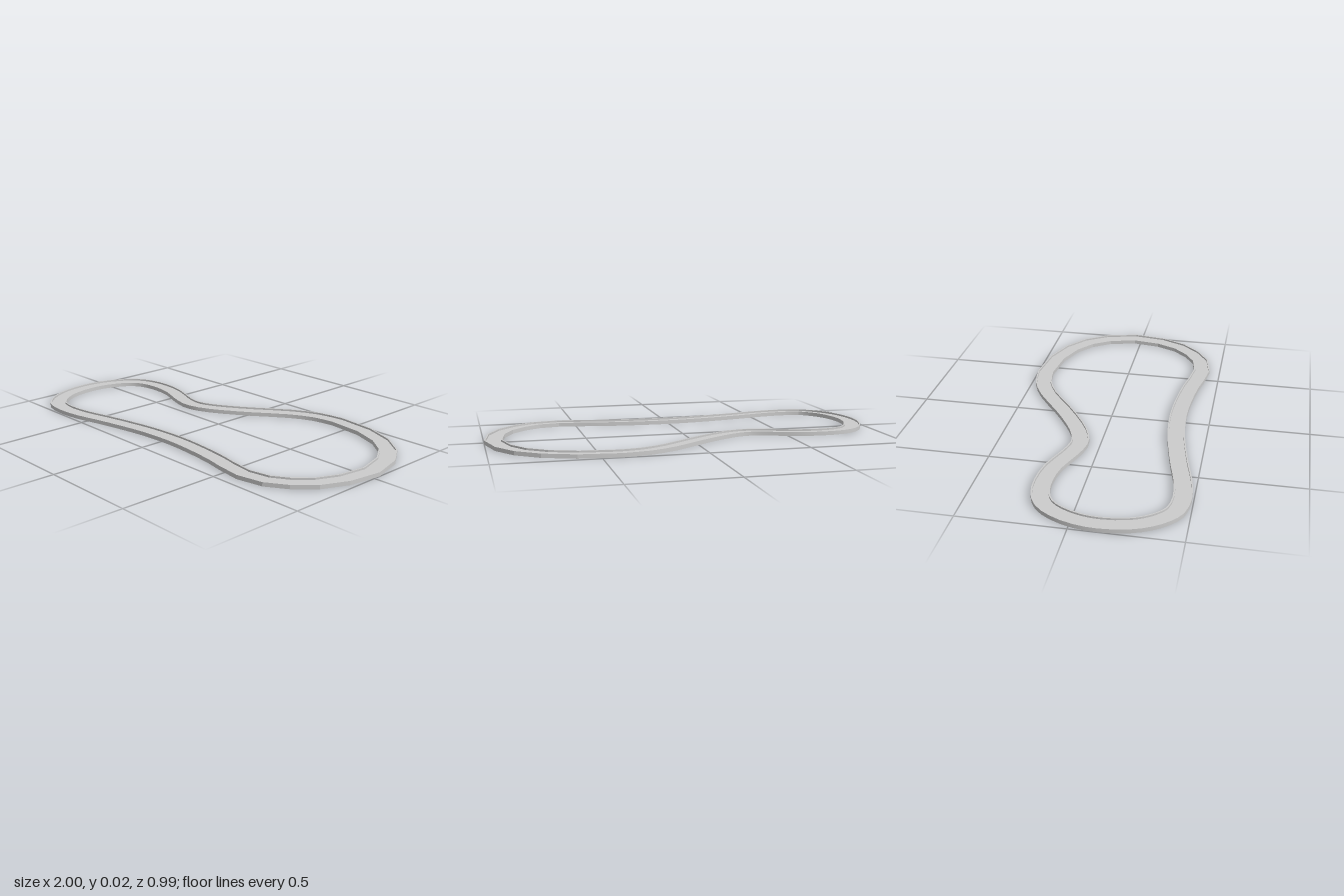
import * as THREE from 'three';
import { toCreasedNormals } from 'three/addons/utils/BufferGeometryUtils.js';

const HALF = 0.043;   // half width of the track
const HEIGHT = 0.02;
const RIM = 0.007;    // thickness of the edge rims
const ROAD = 0.011;   // height of the road surface

// Centre line as x, z pairs: a faceted wide bend, then a smooth run back to its start
const bend = [
  [0.41, -0.453], [0.60, -0.432], [0.745, -0.377], [0.848, -0.298], [0.918, -0.19], [0.957, -0.035],
  [0.934, 0.122], [0.88, 0.24], [0.80, 0.325], [0.71, 0.381], [0.59, 0.402], [0.465, 0.384],
];
const sweepBack = [
  [0.465, 0.384], [0.368, 0.364], [0.19, 0.344], [0.05, 0.338], [-0.13, 0.349], [-0.295, 0.376],
  [-0.44, 0.406], [-0.565, 0.436], [-0.705, 0.45], [-0.806, 0.432], [-0.86, 0.392], [-0.907, 0.33],
  [-0.94, 0.252], [-0.957, 0.13], [-0.946, 0.029], [-0.908, -0.07], [-0.855, -0.137], [-0.782, -0.173],
  [-0.68, -0.185], [-0.555, -0.17], [-0.432, -0.125], [-0.33, -0.098], [-0.246, -0.11], [-0.14, -0.161],
  [0, -0.254], [0.157, -0.371], [0.285, -0.433], [0.41, -0.453],
];

function centreLine() {
  const curve = new THREE.CatmullRomCurve3(sweepBack.map(([x, z]) => new THREE.Vector3(x, 0, z)));
  const steps = (sweepBack.length - 1) * 2;
  const smooth = Array.from({ length: steps - 1 }, (_, i) => curve.getPoint((i + 1) / steps));
  return [...bend.map(([x, z]) => new THREE.Vector2(x, z)), ...smooth.map((p) => new THREE.Vector2(p.x, p.z))];
}

// Mitred outward direction at every point of the closed line
function mitres(line) {
  const n = line.length;
  const normal = (a, b) => {
    const d = b.clone().sub(a).normalize();
    return new THREE.Vector2(d.y, -d.x);
  };
  return line.map((p, i) => {
    const before = normal(line[(i + n - 1) % n], p);
    const after = normal(p, line[(i + 1) % n]);
    const m = before.clone().add(after).normalize();
    return m.divideScalar(m.dot(after));
  });
}

// Sweep a rectangle (offsets o0..o1, heights 0..top) round the line
function sweep(name, line, dirs, o0, o1, top, material) {
  const profile = [[o0, 0], [o1, 0], [o1, top], [o0, top]];
  const positions = [];
  const index = [];
  const n = line.length;
  line.forEach((p, i) => {
    for (const [o, y] of profile) positions.push(p.x + dirs[i].x * o, y, p.y + dirs[i].y * o);
    for (let j = 0; j < 4; j++) {
      const k = (j + 1) % 4;
      const next = (i + 1) % n;
      const a = i * 4 + j, b = i * 4 + k, c = next * 4 + k, d = next * 4 + j;
      index.push(a, b, c, a, c, d);
    }
  });
  const geometry = new THREE.BufferGeometry();
  geometry.setAttribute('position', new THREE.Float32BufferAttribute(positions, 3));
  geometry.setIndex(index);
  const mesh = new THREE.Mesh(toCreasedNormals(geometry, 0.25), material);
  mesh.name = name;
  return mesh;
}

export function createModel() {
  const group = new THREE.Group();
  group.name = 'trackLoop';
  const material = new THREE.MeshStandardMaterial({ color: 0xcccccc });
  const line = centreLine();
  const dirs = mitres(line);
  group.add(
    sweep('road', line, dirs, -HALF + RIM, HALF - RIM, ROAD, material),
    sweep('outerRim', line, dirs, HALF - RIM, HALF, HEIGHT, material),
    sweep('innerRim', line, dirs, -HALF, -HALF + RIM, HEIGHT, material),
  );
  return group;
}
